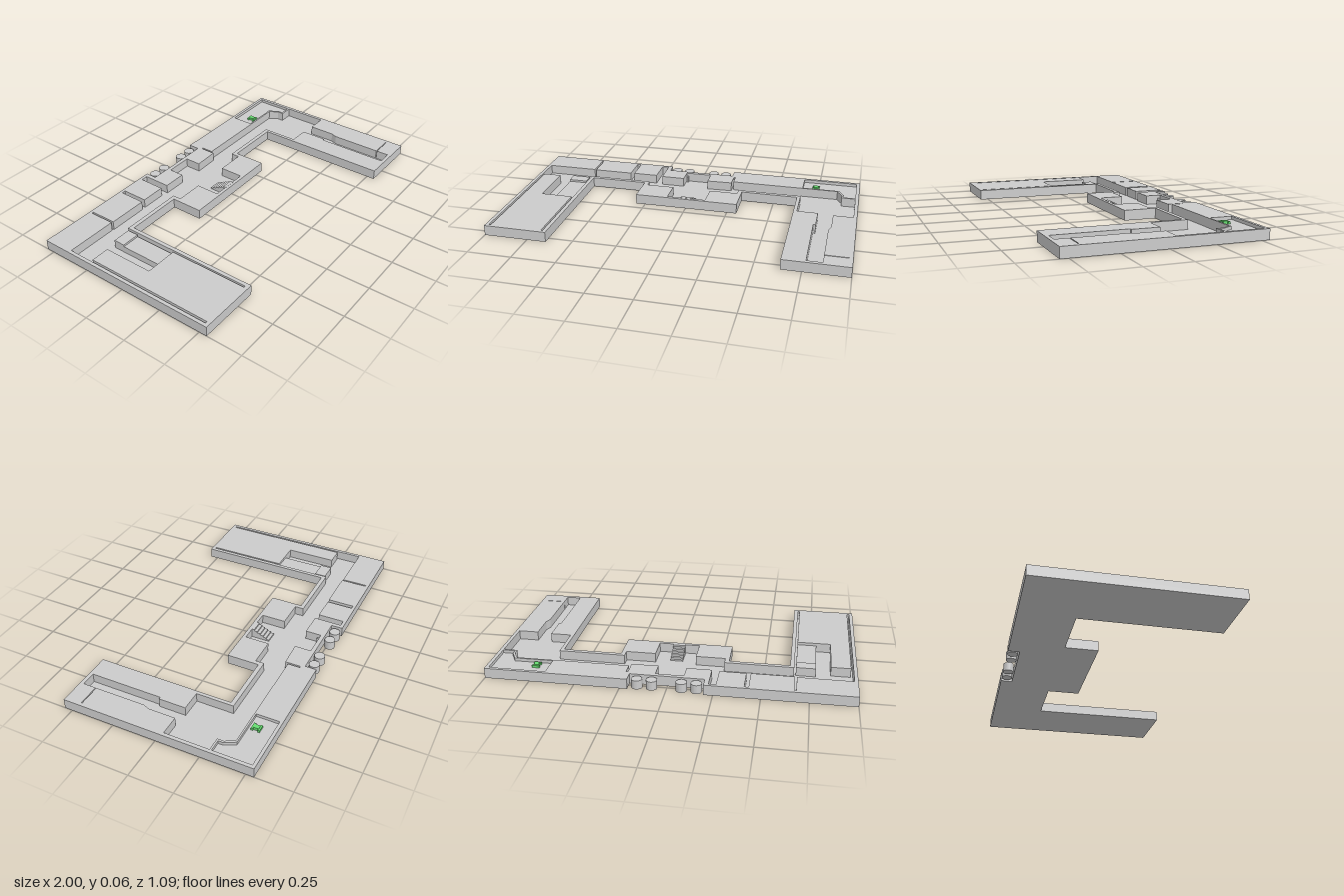
import * as THREE from 'three';

const FLOOR = 0.005, TOP = 0.058;
const grey = new THREE.MeshStandardMaterial({ color: 0xcccccc, flatShading: true });
const green = new THREE.MeshStandardMaterial({ color: 0x66dd70, flatShading: true });

// Footprint in plan: a U with a central bay and a notch at the back
const outline = [
  [-1, -0.545], [-0.2, -0.545], [-0.2, -0.48], [0.207, -0.48], [0.207, -0.545], [1, -0.545],
  [1, 0.545], [0.64, 0.545], [0.64, -0.244], [0.307, -0.244], [0.307, -0.057],
  [-0.305, -0.057], [-0.305, -0.244], [-0.64, -0.244], [-0.64, 0.545], [-1, 0.545],
];

// Sunken walkway running through both wings and the centre
const walkway = [
  // back edge, left to right, with narrow alcoves
  [-0.98, -0.377], [-0.68, -0.377], [-0.68, -0.527], [-0.67, -0.527], [-0.67, -0.373],
  [-0.435, -0.373], [-0.435, -0.527], [-0.412, -0.527], [-0.412, -0.375],
  [-0.265, -0.375], [-0.265, -0.527], [-0.225, -0.527], [-0.225, -0.366],
  [-0.085, -0.366], [-0.085, -0.457], [0.07, -0.457], [0.07, -0.362],
  [0.22, -0.367], [0.22, -0.457], [0.23, -0.457], [0.23, -0.387],
  [0.87, -0.387], [0.9, -0.335], [0.9, -0.298], [0.98, -0.298],
  // right wing, with a thin cross slot
  [0.98, -0.042], [0.866, -0.042], [0.866, 0.113], [0.852, 0.15], [0.852, 0.444],
  [0.98, 0.444], [0.98, 0.449], [0.852, 0.449], [0.852, 0.524],
  [0.767, 0.524], [0.767, 0.103], [0.78, 0.103], [0.78, -0.052], [0.66, -0.052], [0.66, -0.268],
  // front edge, right to left
  [0.283, -0.268], [0.283, -0.217], [0.115, -0.217], [0.115, -0.077], [-0.115, -0.077],
  [-0.115, -0.217], [-0.28, -0.217], [-0.28, -0.268], [-0.662, -0.268],
  // left wing, with a long slot along each side
  [-0.662, 0.524], [-0.672, 0.524], [-0.672, 0.062], [-0.86, 0.062], [-0.86, -0.232],
  [-0.968, -0.232], [-0.968, 0.524], [-0.98, 0.524],
];

const room = [
  [0.66, -0.527], [0.98, -0.527], [0.98, -0.309], [0.912, -0.309], [0.912, -0.338],
  [0.88, -0.397], [0.66, -0.397],
];

const rect = (x0, x1, z0, z1) => [[x0, z0], [x1, z0], [x1, z1], [x0, z1]];
// Plan lists run clockwise from above; shapes want the other way round
const points = (plan) => plan.map(([x, z]) => new THREE.Vector2(x, -z)).reverse();

export function createModel() {
  const model = new THREE.Group();

  function add(name, geometry, material = grey) {
    const mesh = new THREE.Mesh(geometry, material);
    mesh.name = name;
    model.add(mesh);
    return mesh;
  }

  // Plan polygon raised from y0 to y1
  function slab(name, plan, y0, y1, holes = [], material = grey) {
    const shape = new THREE.Shape(points(plan));
    shape.holes = holes.map((h) => new THREE.Path(points(h)));
    const geometry = new THREE.ExtrudeGeometry(shape, { depth: y1 - y0, bevelEnabled: false });
    geometry.rotateX(-Math.PI / 2).translate(0, y0, 0);
    add(name, geometry, material);
  }

  // Floor plate and the raised mass cut by walkway and room
  slab('floorPlate', outline, 0, FLOOR);
  slab('raisedDeck', outline, FLOOR, TOP, [walkway, room]);
  slab('roomFloor', room, FLOOR, 0.04);

  // Counter in the left wing
  slab('counterHead', rect(-0.78, -0.672, -0.257, -0.19), FLOOR, 0.054);
  slab('counter', rect(-0.78, -0.672, -0.19, 0.062), FLOOR, 0.042);

  // Central stairs climbing towards the front
  const steps = 6, back = -0.185, front = -0.073;
  for (let i = 0; i < steps; i++) {
    const z0 = back + ((front - back) * i) / steps;
    const z1 = back + ((front - back) * (i + 1)) / steps;
    slab('stairStep', rect(-0.035, 0.035, z0, z1), FLOOR, FLOOR + (0.0545 * (i + 1)) / steps);
  }

  // Small post in the back alcove
  slab('alcovePost', rect(-0.08, -0.07, -0.452, -0.437), FLOOR, 0.04);

  // Tanks in the back notch
  for (const x of [-0.16, -0.08, 0.08, 0.16]) {
    const tank = add('tank', new THREE.CylinderGeometry(0.03, 0.03, 0.05, 24));
    tank.position.set(x, 0.026, -0.515);
  }

  // Green table with a seat at both ends
  slab('table', rect(0.725, 0.751, -0.452, -0.422), 0.04, 0.056, [], green);
  for (const z of [-0.455, -0.419]) {
    slab('seat', rect(0.717, 0.759, z - 0.006, z + 0.006), 0.04, 0.053, [], green);
  }

  return model;
}
